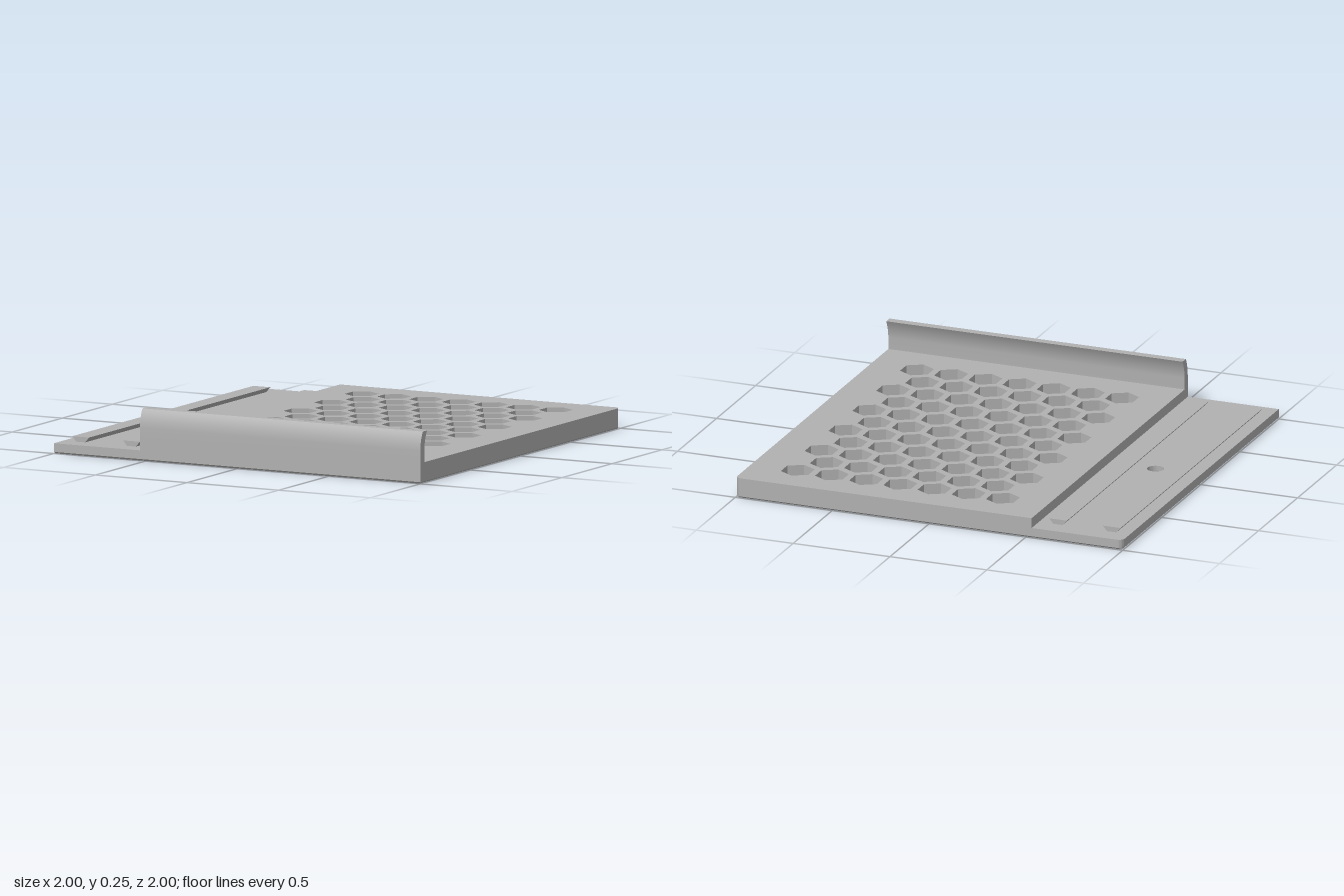
import * as THREE from 'three';
import { toCreasedNormals } from 'three/addons/utils/BufferGeometryUtils.js';

const SPLIT = -0.53;   // step between the thin shelf and the thick deck
const CHAMFER = 0.008; // bevel around the underside
const RADIUS = 0.03;   // rear corner rounding

// Regular polygon hole; shape y is minus z
function polygonHole(x, z, r, sides) {
  const pts = [];
  for (let i = 0; i < sides; i++) {
    const a = Math.PI / 2 - (i / sides) * Math.PI * 2;
    pts.push(new THREE.Vector2(x + r * Math.cos(a), -z + r * Math.sin(a)));
  }
  return new THREE.Path(pts);
}

// Plan outline of a plate with optional rounded rear corners
function plateShape(x0, x1, roundLeft, roundRight) {
  const s = new THREE.Shape();
  s.moveTo(x0, -1);
  s.lineTo(x1, -1);
  if (roundRight) s.absarc(x1 - RADIUS, 1 - RADIUS, RADIUS, 0, Math.PI / 2);
  else s.lineTo(x1, 1);
  if (roundLeft) s.absarc(x0 + RADIUS, 1 - RADIUS, RADIUS, Math.PI / 2, Math.PI);
  else s.lineTo(x0, 1);
  s.closePath();
  return s;
}

// Plate from y0 to y1; a plate on the ground gets a chamfered lower edge
function plateGeometry(shape, y0, y1) {
  const depth = y1 - y0;
  const g = new THREE.ExtrudeGeometry(shape, { depth, steps: 2, bevelEnabled: false, curveSegments: 8 });
  g.rotateX(-Math.PI / 2);
  const p = g.attributes.position, lim = 1 - CHAMFER;
  for (let i = 0; i < p.count; i++) {
    const y = p.getY(i);
    if (Math.abs(y - depth / 2) < 1e-4) p.setY(i, CHAMFER);
    else if (y0 === 0 && y < 1e-4) {
      p.setX(i, THREE.MathUtils.clamp(p.getX(i), -lim, lim));
      p.setZ(i, THREE.MathUtils.clamp(p.getZ(i), -lim, lim));
    }
  }
  g.translate(0, y0, 0);
  return g;
}

export function createModel() {
  const group = new THREE.Group();
  const grey = new THREE.MeshStandardMaterial({ color: 0xb0b0b0 });
  grey.name = 'grey plastic';
  const add = (name, geometry) => {
    const mesh = new THREE.Mesh(toCreasedNormals(geometry, 0.5), grey);
    mesh.name = name;
    group.add(mesh);
  };

  // Thick deck with a honeycomb of through holes
  const deck = plateShape(SPLIT, 1, false, true);
  const pitch = 0.1765, rowStep = 0.1527;
  for (let row = 0; row < 11; row++) {
    const odd = row % 2;
    for (let col = 0; col < 7 - odd; col++) {
      deck.holes.push(polygonHole(-0.297 + (col + odd / 2) * pitch, -0.79 + row * rowStep, 0.082, 6));
    }
  }
  add('honeycombDeck', plateGeometry(deck, 0, 0.1));

  // Thin shelf: nut pocket below, round screw hole above
  const lower = plateShape(-1, SPLIT, true, false);
  lower.holes.push(polygonHole(-0.767, 0, 0.068, 6));
  add('shelfWithNutPocket', plateGeometry(lower, 0, 0.025));
  const upper = plateShape(-1, SPLIT, true, false);
  upper.holes.push(polygonHole(-0.767, 0, 0.041, 32));
  add('shelfWithScrewHole', plateGeometry(upper, 0.025, 0.05));

  // Dovetail rails, wider at the top
  for (const x of [-0.905, -0.628]) {
    const s = new THREE.Shape([[-0.024, 0.05], [0.024, 0.05], [0.046, 0.075], [-0.046, 0.075]]
      .map(([u, v]) => new THREE.Vector2(x + u, v)));
    const g = new THREE.ExtrudeGeometry(s, { depth: 1.81, bevelEnabled: false });
    add('dovetailRail', g.translate(0, 0, -0.905));
  }

  // Front lip curling inward; profile x is minus z
  const lip = new THREE.Shape();
  lip.moveTo(-1, 0.095);
  lip.lineTo(-0.96, 0.095);
  lip.lineTo(-0.96, 0.16);
  lip.quadraticCurveTo(-0.958, 0.205, -0.933, 0.25);
  lip.lineTo(-0.975, 0.25);
  lip.quadraticCurveTo(-0.998, 0.21, -1, 0.16);
  lip.closePath();
  const lipGeometry = new THREE.ExtrudeGeometry(lip, { depth: 1 - SPLIT, bevelEnabled: false, curveSegments: 10 });
  add('frontLip', lipGeometry.rotateY(Math.PI / 2).translate(SPLIT, 0, 0));

  return group;
}
